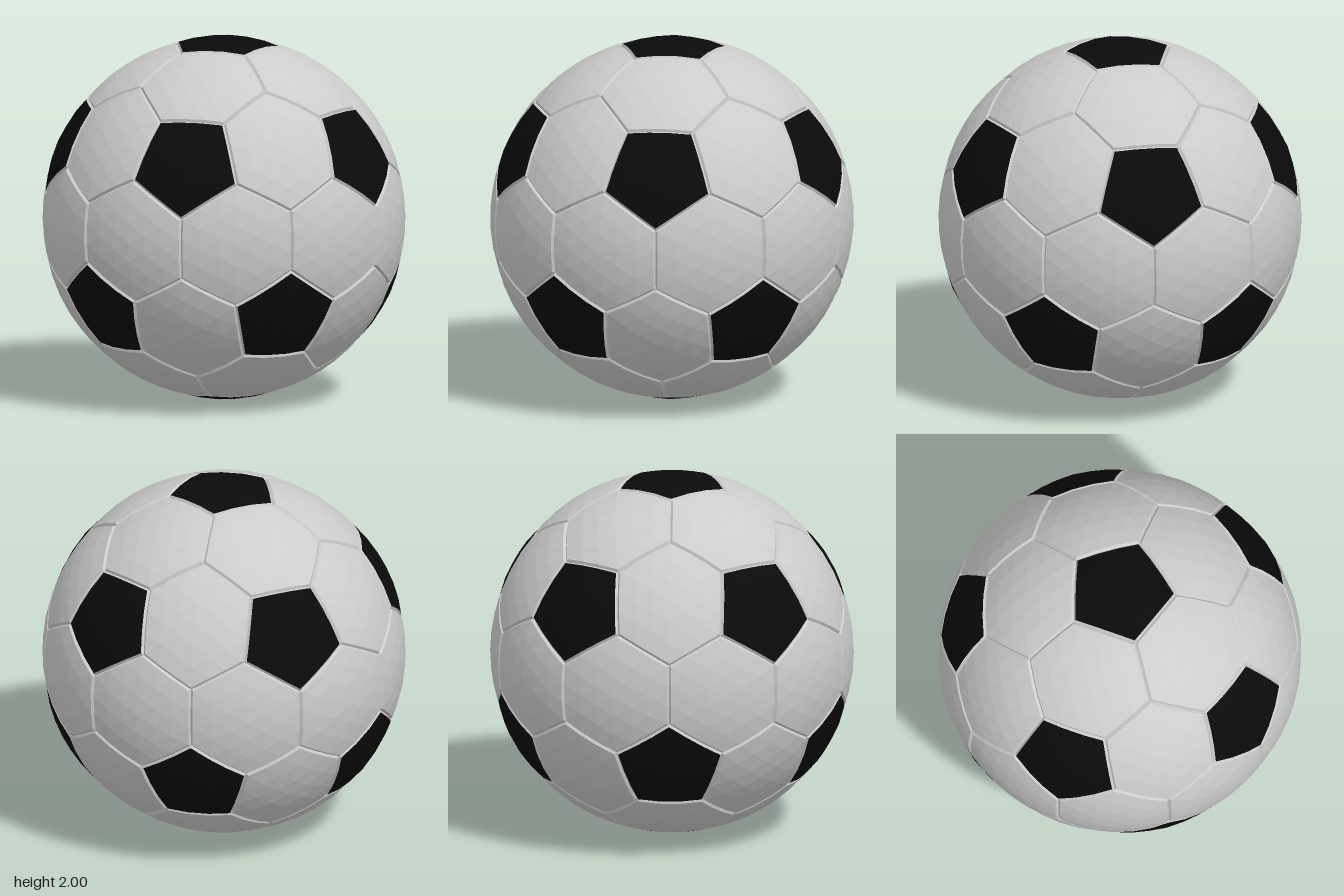
import * as THREE from 'three';

const N = 3;             // facet rows per panel sector
const BEVEL = 0.012;     // width of the sloping panel rim
const EDGE_R = 0.99, SEAM_R = 0.978, HEX_R = 0.994, PENT_R = 1.0;
const CORNER = THREE.MathUtils.degToRad(18.1); // pentagon centre to corner

// Great-circle step from a toward b by an angle
function stepToward(a, b, angle) {
  const side = b.clone().addScaledVector(a, -a.dot(b)).normalize();
  return a.clone().multiplyScalar(Math.cos(angle)).addScaledVector(side, Math.sin(angle));
}

// Sort corners counter-clockwise as seen from outside
function sortAround(c, points) {
  const u = points[0].clone().addScaledVector(c, -c.dot(points[0])).normalize();
  const v = c.clone().cross(u);
  const angle = p => Math.atan2(p.dot(v), p.dot(u));
  return points.sort((p, q) => angle(p) - angle(q));
}

// Adds one domed panel to `face` and its sloping rim to `seam`
function addPanel(c, corners, centreR, face, seam) {
  const ring = sortAround(c, corners);
  const put = (list, ...pts) => pts.forEach(p => list.push(p.x, p.y + 1, p.z));
  ring.forEach((a, k) => {
    const b = ring[(k + 1) % ring.length];
    const apothem = a.clone().add(b).normalize().angleTo(c);
    const inner = 1 - BEVEL / apothem;
    const along = j => a.clone().lerp(b, j / N).normalize();
    const at = (i, j) => { // row i has i segments
      const t = i / N;
      const rim = i ? a.clone().lerp(b, j / i).normalize() : c;
      return c.clone().lerp(rim, t * inner).normalize()
        .multiplyScalar(THREE.MathUtils.lerp(centreR, EDGE_R, t * t));
    };
    for (let i = 0; i < N; i++) {
      for (let j = 0; j <= i; j++) {
        put(face, at(i, j), at(i + 1, j), at(i + 1, j + 1));
        if (j < i) put(face, at(i, j), at(i + 1, j + 1), at(i, j + 1));
      }
    }
    for (let j = 0; j < N; j++) {
      const p = at(N, j), q = at(N, j + 1);
      const r = along(j).multiplyScalar(SEAM_R), s = along(j + 1).multiplyScalar(SEAM_R);
      put(seam, p, r, s, p, s, q);
    }
  });
}

function makeMesh(name, positions, color) {
  const geometry = new THREE.BufferGeometry();
  geometry.setAttribute('position', new THREE.Float32BufferAttribute(positions, 3));
  geometry.computeVertexNormals();
  const mesh = new THREE.Mesh(geometry, new THREE.MeshStandardMaterial({ color, flatShading: true }));
  mesh.name = name;
  return mesh;
}

export function createModel() {
  // Twelve pentagon centres: two poles and two staggered rings
  const centres = [new THREE.Vector3(0, 1, 0), new THREE.Vector3(0, -1, 0)];
  const h = 1 / Math.sqrt(5);
  for (let k = 0; k < 10; k++) {
    const a = k * Math.PI / 5;
    centres.push(new THREE.Vector3(2 * h * Math.cos(a), k % 2 ? -h : h, 2 * h * Math.sin(a)));
  }
  const near = (a, b) => a !== b && a.dot(b) > 0.4;

  // Junctions where three hexagons meet
  const junctions = [];
  centres.forEach((a, i) => centres.forEach((b, j) => centres.forEach((c, k) => {
    if (i < j && j < k && near(a, b) && near(b, c) && near(a, c)) {
      junctions.push({ owners: [a, b, c], point: a.clone().add(b).add(c).normalize() });
    }
  })));

  const pentagons = [], hexagons = [], seams = [];
  centres.forEach((a, i) => {
    const own = junctions.filter(f => f.owners.includes(a));
    addPanel(a, own.map(f => stepToward(a, f.point, CORNER)), PENT_R, pentagons, seams);

    // One hexagon between each pair of neighbouring pentagons
    centres.slice(i + 1).filter(b => near(a, b)).forEach(b => {
      const corners = own.filter(f => f.owners.includes(b)).flatMap(f => [
        stepToward(a, f.point, CORNER), f.point.clone(), stepToward(b, f.point, CORNER)]);
      addPanel(a.clone().add(b).normalize(), corners, HEX_R, hexagons, seams);
    });
  });

  const ball = new THREE.Group();
  ball.name = 'ball';
  ball.add(
    makeMesh('pentagonPanels', pentagons, 0x0a0a0a),
    makeMesh('hexagonPanels', hexagons, 0xcccccc),
    makeMesh('seams', seams, 0xcccccc));
  return ball;
}
